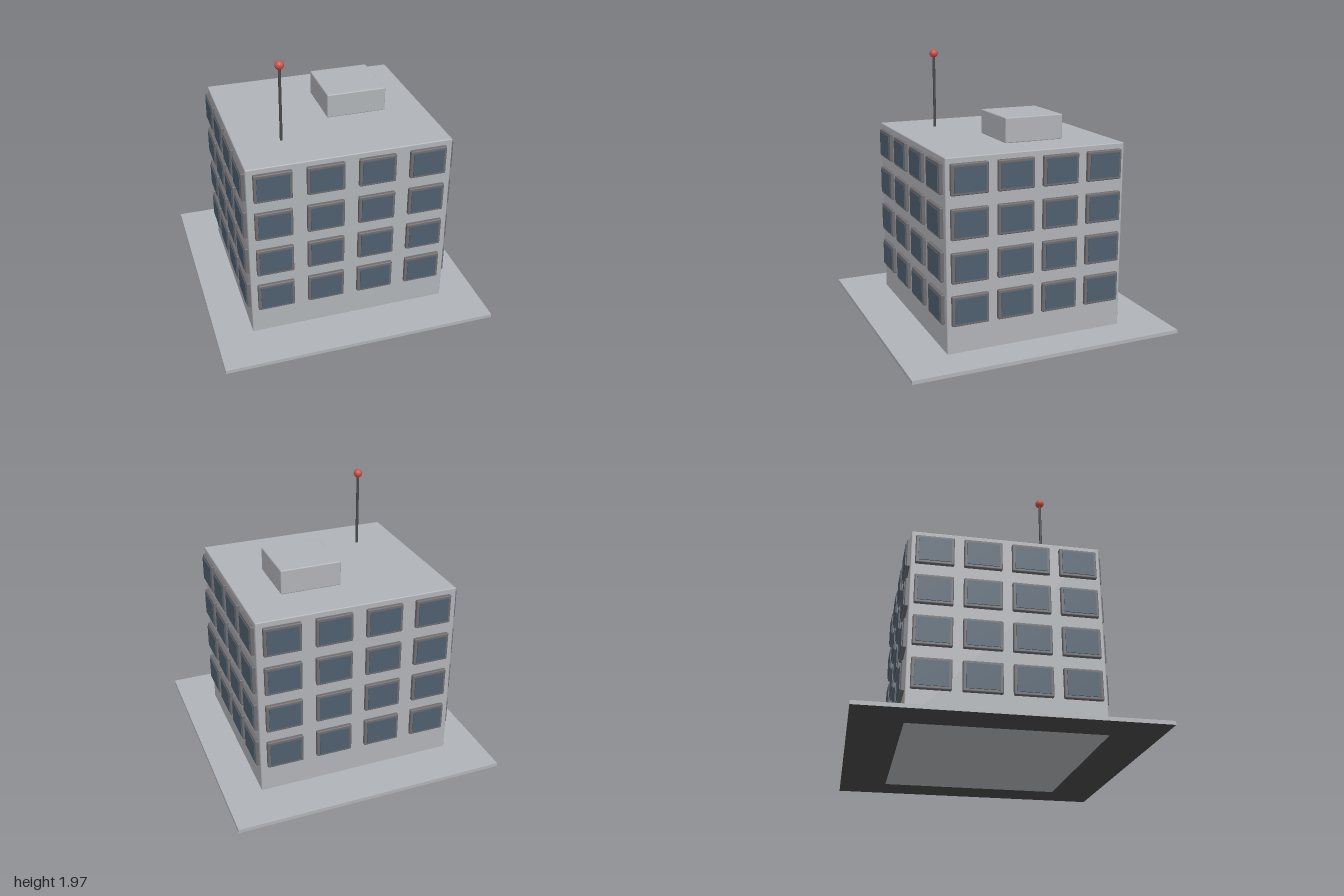
import * as THREE from 'three';
import { RoundedBoxGeometry } from 'three/addons/geometries/RoundedBoxGeometry.js';

const material = (name, color) => {
  const m = new THREE.MeshStandardMaterial({ color });
  m.name = name;
  return m;
};

export function createModel() {
  const concrete = material('concrete', 0xb0b3b7);
  const frameGrey = material('frame grey', 0x6e6c6f);
  const glassBlue = material('glass blue', 0x4f5f6e);
  const darkMetal = material('dark metal', 0x4a4a4a);
  const beaconRed = material('beacon red', 0xc9544f);

  const model = new THREE.Group();
  model.name = 'officeBuilding';

  const add = (parent, name, geometry, mat, x, y, z) => {
    const mesh = new THREE.Mesh(geometry, mat);
    mesh.name = name;
    mesh.position.set(x, y, z);
    parent.add(mesh);
    return mesh;
  };

  // Ground slab with a dark underside (box face order: +x -x +y -y +z -z)
  add(model, 'groundSlab', new THREE.BoxGeometry(2, 0.026, 2),
    [concrete, concrete, concrete, darkMetal, concrete, concrete], 0, 0.015, 0);

  // Main block, reaching through the slab, and the rooftop hut
  add(model, 'mainBlock', new RoundedBoxGeometry(1.46, 1.38, 1.325, 2, 0.008), concrete, 0, 0.69, 0);
  add(model, 'roofHut', new RoundedBoxGeometry(0.44, 0.18, 0.44, 2, 0.008), concrete, 0.22, 1.468, -0.11);

  // Antenna with a red beacon
  add(model, 'antennaMast', new THREE.CylinderGeometry(0.01, 0.01, 0.56, 16), darkMetal, -0.4, 1.65, 0.33);
  add(model, 'antennaBeacon', new THREE.SphereGeometry(0.032, 24, 16), beaconRed, -0.4, 1.938, 0.33);

  // Window: bevelled frame sunk into the wall, thin pane standing proud of it
  const frameGeometry = new RoundedBoxGeometry(0.265, 0.212, 0.05, 2, 0.008);
  const paneGeometry = new THREE.BoxGeometry(0.225, 0.172, 0.009);

  // Four facades, each a 4 x 4 grid of windows
  const facades = [
    { name: 'frontWindows', angle: 0, distance: 0.6625, spacing: 0.367 },
    { name: 'leftWindows', angle: Math.PI / 2, distance: 0.73, spacing: 0.333 },
    { name: 'backWindows', angle: Math.PI, distance: 0.6625, spacing: 0.367 },
    { name: 'rightWindows', angle: -Math.PI / 2, distance: 0.73, spacing: 0.333 },
  ];
  for (const { name, angle, distance, spacing } of facades) {
    const facade = new THREE.Group();
    facade.name = name;
    facade.rotation.y = angle;
    for (let row = 0; row < 4; row++) {
      for (let col = 0; col < 4; col++) {
        const x = (col - 1.5) * spacing;
        const y = 0.334 + row * 0.3;
        add(facade, 'windowFrame', frameGeometry, frameGrey, x, y, distance);
        add(facade, 'windowPane', paneGeometry, glassBlue, x, y, distance + 0.0265);
      }
    }
    model.add(facade);
  }
  return model;
}
